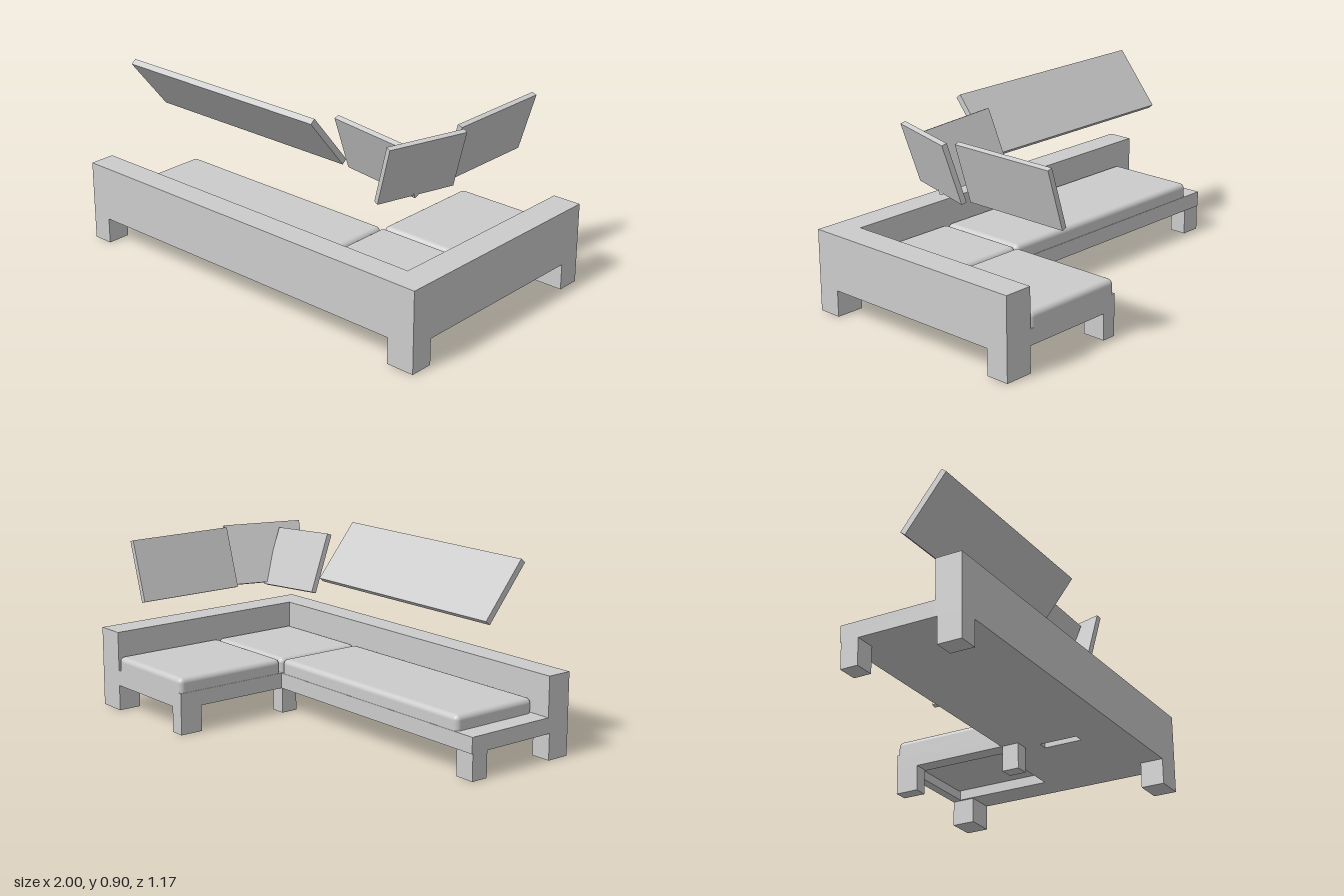
import * as THREE from 'three';
import { RoundedBoxGeometry } from 'three/addons/geometries/RoundedBoxGeometry.js';

const grey = new THREE.MeshStandardMaterial({ color: 0xcccccc });

export function createModel() {
  const group = new THREE.Group();

  const add = (name, geometry) => {
    const mesh = new THREE.Mesh(geometry, grey);
    mesh.name = name;
    group.add(mesh);
    return mesh;
  };

  // Box or rounded box given by its extents on each axis
  const block = (name, [x0, x1], [y0, y1], [z0, z1], radius = 0) => {
    const size = [x1 - x0, y1 - y0, z1 - z0];
    const geometry = radius
      ? new RoundedBoxGeometry(...size, 4, radius)
      : new THREE.BoxGeometry(...size);
    add(name, geometry).position.set((x0 + x1) / 2, (y0 + y1) / 2, (z0 + z1) / 2);
  };

  // Backrest walls and the low end ledge
  block('longWall', [-1, 1], [0.125, 0.39], [0.46, 0.585]);
  block('sideWall', [0.86, 1], [0.125, 0.39], [-0.585, 0.46]);
  block('endLedge', [-1, -0.9], [0.125, 0.2], [0, 0.46]);

  // L-shaped seat base, open under the chaise (drawn in x, z)
  const points = (list) => list.map(([x, z]) => new THREE.Vector2(x, -z));
  const rect = (x0, x1, z0, z1) => new THREE.Path(points([[x0, z0], [x1, z0], [x1, z1], [x0, z1]]));
  const base = new THREE.Shape(points([
    [-0.9, 0.46], [0.86, 0.46], [0.86, -0.585], [0.33, -0.585], [0.33, 0], [-0.9, 0],
  ]));
  base.holes.push(rect(0.41, 0.85, -0.54, -0.05), rect(0.4, 0.45, 0.17, 0.36));
  const baseGeometry = new THREE.ExtrudeGeometry(base, { depth: 0.075, bevelEnabled: false });
  baseGeometry.rotateX(-Math.PI / 2);
  add('seatBase', baseGeometry).position.y = 0.125;

  // Seat cushions
  block('longCushion', [-0.9, 0.328], [0.17, 0.27], [0.002, 0.46], 0.025);
  block('cornerCushion', [0.332, 0.86], [0.17, 0.27], [0.002, 0.46], 0.025);
  block('chaiseCushion', [0.332, 0.86], [0.17, 0.27], [-0.585, -0.002], 0.025);

  // Legs
  [
    [[-1, -0.9], [0.47, 0.585]],
    [[-1, -0.9], [0.005, 0.09]],
    [[0.33, 0.4], [0.005, 0.09]],
    [[0.33, 0.4], [-0.585, -0.47]],
    [[0.86, 1], [-0.585, -0.47]],
    [[0.86, 1], [0.47, 0.585]],
  ].forEach(([x, z]) => block('leg', x, [0, 0.125], z));

  // Leaning back panels: yaw turns them, tilt leans the top outwards
  const panel = (name, size, position, yaw, tilt, roll = 0) => {
    const mesh = add(name, new THREE.BoxGeometry(...size));
    mesh.position.set(...position);
    mesh.rotation.set(tilt, yaw, roll, 'YXZ');
  };
  panel('longBackPanel', [1.145, 0.323, 0.03], [-0.292, 0.765, 0.311], 0, 0.687);
  panel('chaiseBackPanel', [0.54, 0.295, 0.025], [0.685, 0.717, -0.305], Math.PI / 2, 0.3);
  panel('cornerSidePanel', [0.395, 0.295, 0.025], [0.68, 0.717, 0.167], 1.287, 0.31);
  panel('cornerLongPanel', [0.4, 0.29, 0.025], [0.457, 0.712, 0.198], -0.065, 0.38, -0.075);

  return group;
}
